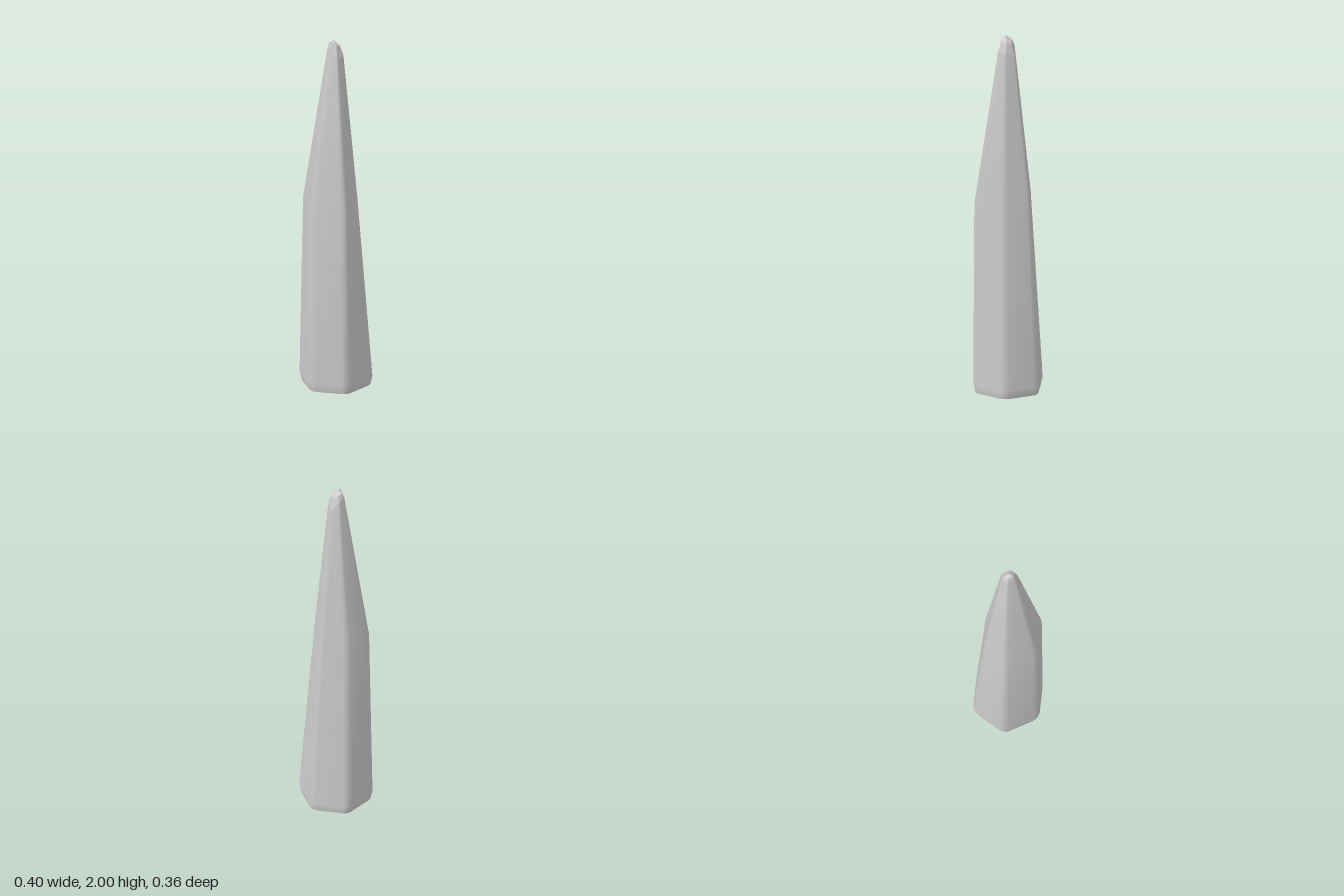
import * as THREE from 'three';

const material = new THREE.MeshStandardMaterial({ color: 0xcccccc, side: THREE.DoubleSide });

// Rounds each corner of a ring [x, y, z] into three points.
function roundRing(corners, cut = 0.14) {
  const pts = [];
  const n = corners.length;
  corners.forEach((c, i) => {
    const p = new THREE.Vector3(...c);
    const a = p.clone().lerp(new THREE.Vector3(...corners[(i + n - 1) % n]), cut);
    const b = p.clone().lerp(new THREE.Vector3(...corners[(i + 1) % n]), cut);
    const mid = p.clone().multiplyScalar(0.5).addScaledVector(a, 0.25).addScaledVector(b, 0.25);
    pts.push(a, mid, b);
  });
  return pts;
}

// Regular hexagon, running from +x towards +z.
function hexagon(radius, y) {
  return Array.from({ length: 6 }, (_, i) => {
    const a = (i * Math.PI) / 3;
    return [radius * Math.cos(a), y, radius * Math.sin(a)];
  });
}

// Skins a stack of rings, optionally closing it with an apex point.
function loft(rings, apex) {
  const n = rings[0].length;
  const points = rings.flat();
  const index = [];
  for (let r = 0; r < rings.length - 1; r++) {
    for (let i = 0; i < n; i++) {
      const a = r * n + i, b = r * n + (i + 1) % n;
      index.push(a, a + n, b, b, a + n, b + n);
    }
  }
  if (apex) {
    const start = (rings.length - 1) * n;
    points.push(apex);
    for (let i = 0; i < n; i++) index.push(start + i, points.length - 1, start + (i + 1) % n);
  }
  const geometry = new THREE.BufferGeometry().setFromPoints(points);
  geometry.setIndex(index);
  return geometry;
}

export function createModel() {
  const group = new THREE.Group();
  group.name = 'crystalShard';

  // Irregular shoulder and neck: right, front right, front left, left, back left, back right
  const shoulder = [
    [0.123, 1.1, 0.012], [0.092, 1.06, 0.176], [-0.105, 1.06, 0.176],
    [-0.188, 1.06, 0], [-0.083, 1.1, -0.115], [0.058, 1.12, -0.127],
  ];
  const neck = [
    [0.045, 1.91, 0.01], [0.018, 1.91, 0.053], [-0.025, 1.95, 0.042],
    [-0.046, 1.96, 0], [-0.025, 1.94, -0.034], [0.022, 1.89, -0.04],
  ];

  // Tapering six-sided shaft, open underneath
  const rings = [hexagon(0.196, 0), hexagon(0.208, 0.05), shoulder, neck].map((r) => roundRing(r));
  const shaftGeometry = loft(rings);
  shaftGeometry.computeVertexNormals();
  const shaft = new THREE.Mesh(shaftGeometry, material);
  shaft.name = 'shaft';

  // Chipped, faceted tip
  const crown = [
    [0.025, 1.965, 0.008], [0.01, 1.975, 0.033], [-0.018, 1.988, 0.033],
    [-0.035, 1.982, 0], [-0.016, 1.976, -0.02], [0.012, 1.955, -0.02],
  ];
  const tipGeometry = loft([rings[3], roundRing(crown)], new THREE.Vector3(-0.012, 2, 0.015)).toNonIndexed();
  tipGeometry.computeVertexNormals();
  const tip = new THREE.Mesh(tipGeometry, material);
  tip.name = 'tip';

  group.add(shaft, tip);
  return group;
}
